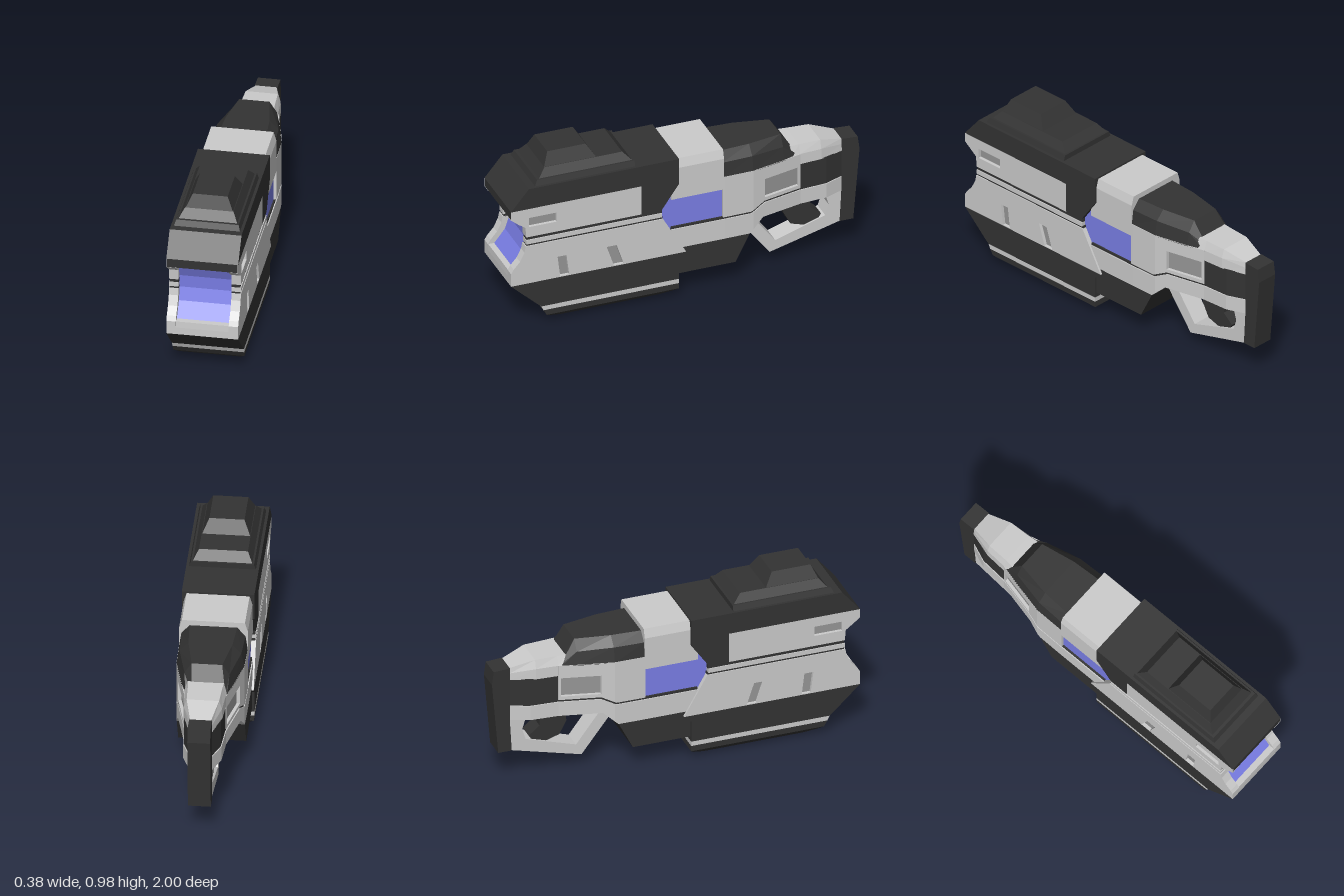
import * as THREE from 'three';
import { mergeGeometries } from 'three/addons/utils/BufferGeometryUtils.js';

const GREY = 0xcccccc, BLACK = 0x333333, BLUE = 0x7a7ee6, DIM = 0x969696;

// half width of the rear body along z: [z, halfWidth]
const TAPER = [[0.3, 0.18], [-0.2, 0.18], [-0.36, 0.178], [-0.65, 0.11], [-0.8, 0.1], [-0.9, 0.06], [-1, 0.06]];

function taperAt(z) {
  for (let i = 1; i < TAPER.length; i++) {
    const [z0, w0] = TAPER[i - 1], [z1, w1] = TAPER[i];
    if (z >= z1) return w0 + (w1 - w0) * Math.max(0, (z0 - z) / (z0 - z1));
  }
  return 0.06;
}

// side outline of [z, y] points, extruded from x0 to x1
function extrude(pts, x0, x1, holes = []) {
  const v = (list) => list.map(([z, y]) => new THREE.Vector2(z, y));
  const shape = new THREE.Shape(v(pts));
  holes.forEach((h) => shape.holes.push(new THREE.Path(v(h))));
  const g = new THREE.ExtrudeGeometry(shape, { depth: x1 - x0, bevelEnabled: false });
  return g.rotateY(-Math.PI / 2).translate(x1, 0, 0);
}

// the same outline on both sides
const pair = (pts, x0, x1, holes) =>
  mergeGeometries([extrude(pts, x0, x1, holes), extrude(pts, -x1, -x0, holes)]);

// keep the part of an outline where sign * (z - cut) >= 0
function clip(pts, cut, sign) {
  const out = [];
  pts.forEach((a, i) => {
    const b = pts[(i + 1) % pts.length];
    const da = sign * (a[0] - cut), db = sign * (b[0] - cut);
    if (da >= 0) out.push(a);
    if (da * db < 0) {
      const t = da / (da - db);
      out.push([cut, a[1] + (b[1] - a[1]) * t]);
    }
  });
  return out;
}

// full-width outline that follows the taper, cut into strips at its bends
function tapered(pts, inset = 0) {
  const parts = [];
  const zs = pts.map((p) => p[0]), lo = Math.min(...zs), hi = Math.max(...zs);
  for (let i = 1; i < TAPER.length; i++) {
    const a = TAPER[i - 1][0], b = TAPER[i][0];
    if (a <= lo + 1e-4 || b >= hi - 1e-4) continue;
    const strip = clip(clip(pts, a, -1), b, 1);
    if (strip.length < 3) continue;
    const g = extrude(strip, -1, 1), p = g.attributes.position;
    for (let k = 0; k < p.count; k++) p.setX(k, Math.sign(p.getX(k)) * (taperAt(p.getZ(k)) - inset));
    g.computeVertexNormals();
    parts.push(g);
  }
  return mergeGeometries(parts);
}

// capped solid through rings of [x, y, z] points
function loft(rings) {
  const n = rings[0].length, tris = [];
  for (let r = 0; r + 1 < rings.length; r++) {
    for (let i = 0; i < n; i++) {
      const j = (i + 1) % n, A = rings[r], B = rings[r + 1];
      tris.push([A[i], A[j], B[j]], [A[i], B[j], B[i]]);
    }
  }
  const last = rings[rings.length - 1];
  for (let i = 1; i < n - 1; i++) {
    tris.push([rings[0][0], rings[0][i + 1], rings[0][i]], [last[0], last[i], last[i + 1]]);
  }
  // turn the faces outward
  const vec = (p) => new THREE.Vector3(...p);
  const volume = tris.reduce((s, [a, b, c]) => s + vec(a).dot(vec(b).cross(vec(c))), 0);
  if (volume < 0) tris.forEach((t) => t.reverse());
  const g = new THREE.BufferGeometry();
  g.setAttribute('position', new THREE.Float32BufferAttribute(tris.flat(2), 3));
  g.computeVertexNormals();
  return g;
}

// stacked rectangles: [y, zBack, zFront, halfWidth]
const stack = (levels) => loft(levels.map(([y, a, b, w]) => [[-w, y, a], [w, y, a], [w, y, b], [-w, y, b]]));

// mirrored half sections along z: [z, [[x, y], ...]] from the bottom up
const hull = (sections) => loft(sections.map(([z, half]) => [
  ...half.map(([x, y]) => [x, y, z]),
  ...half.slice().reverse().map(([x, y]) => [-x, y, z]),
]));

const rect = (z0, z1, y0, y1) => [[z0, y0], [z1, y0], [z1, y1], [z0, y1]];

export function createModel() {
  const model = new THREE.Group();
  const add = (name, color, geometry) => {
    const mesh = new THREE.Mesh(geometry, new THREE.MeshStandardMaterial({ color, flatShading: true }));
    mesh.name = name;
    model.add(mesh);
  };

  // front housing: top cover
  add('topCover', BLACK, extrude(
    [[1, 0.71], [0.9, 0.83], [0.06, 0.83], [0.06, 0.68], [0.155, 0.545], [0.27, 0.545], [0.27, 0.71]], -0.19, 0.19));
  add('coverLip', BLACK, extrude(rect(0.27, 0.998, 0.66, 0.71), -0.186, 0.186));

  // front housing: side walls with slots
  const upperSlot = rect(0.745, 0.9, 0.6, 0.655);
  const lowerSlots = [
    [[0.74, 0.385], [0.69, 0.385], [0.675, 0.265], [0.725, 0.265]],
    [[0.465, 0.385], [0.41, 0.385], [0.37, 0.265], [0.425, 0.265]],
  ];
  add('upperSidePanel', GREY, pair(
    [[1, 0.71], [1, 0.66], [0.92, 0.6], [0.915, 0.54], [0.27, 0.54], [0.27, 0.71]], 0.186, 0.19, [upperSlot]));
  add('upperWall', GREY, pair(
    [[1, 0.66], [0.955, 0.622], [0.92, 0.6], [0.915, 0.54], [0.27, 0.54], [0.27, 0.66]], 0.14, 0.186, [upperSlot]));
  add('upperGroove', BLACK, pair(rect(0.155, 0.912, 0.52, 0.545), 0.14, 0.185));
  add('sideRail', GREY, pair(rect(0.155, 0.915, 0.497, 0.522), 0.14, 0.19));
  add('lowerGroove', BLACK, pair(rect(0.15, 0.912, 0.483, 0.499), 0.14, 0.185));
  add('lowerWall', GREY, pair(
    [[0.918, 0.486], [0.925, 0.45], [0.95, 0.4], [0.985, 0.36], [1, 0.335], [1, 0.26], [0.02, 0.26], [0.15, 0.486]],
    0.14, 0.19, lowerSlots));
  [upperSlot, ...lowerSlots].forEach((s) => add('slotFloor', DIM, pair(s, 0.14, 0.172)));

  // glowing front panel and the sill below it
  add('frontPanel', BLUE, extrude(
    [[0.97, 0.66], [0.91, 0.61], [0.885, 0.55], [0.882, 0.48], [0.905, 0.41], [0.965, 0.335], [0.3, 0.335], [0.3, 0.66]],
    -0.141, 0.141));
  add('frontSill', GREY, extrude([[0.965, 0.335], [0.998, 0.335], [1, 0.3], [1, 0.26], [0.04, 0.26], [0.04, 0.335]], -0.141, 0.141));

  // front housing: belly
  add('bellyUpper', BLACK, extrude(
    [[1, 0.26], [0.86, 0.13], [0.83, 0.104], [0.06, 0.104], [0.06, 0.225], [0.02, 0.26]], -0.19, 0.19));
  add('bellyStripe', GREY, extrude([[0.83, 0.104], [0.818, 0.078], [0.06, 0.078], [0.06, 0.104]], -0.19, 0.19));
  add('bellyLower', BLACK, stack([
    [0.078, 0.06, 0.818, 0.19], [0.045, 0.06, 0.8, 0.188], [0.022, 0.085, 0.77, 0.16], [0, 0.15, 0.7, 0.135]]));

  // sight block
  add('sightBase', BLACK, stack([[0.83, 0.3, 0.86, 0.175], [0.86, 0.3, 0.845, 0.165]]));
  add('sightMiddle', BLACK, stack([[0.86, 0.31, 0.83, 0.155], [0.905, 0.355, 0.79, 0.128]]));
  add('sightTop', BLACK, stack([[0.905, 0.5, 0.79, 0.125], [0.975, 0.545, 0.76, 0.092]]));

  // middle collar and side light
  const collar = [[0.18, 0.59], [0.18, 0.77], [0.165, 0.82]];
  add('collar', GREY, hull([[0.07, collar], [-0.195, collar]]));
  add('sideLight', BLUE, tapered(rect(-0.19, 0.29, 0.405, 0.6), 0.015));

  // rear body
  add('rearBodyUpper', GREY, tapered(rect(-0.65, 0.1, 0.585, 0.66)));
  add('rearBodySide', GREY, tapered([[-0.19, 0.59], [-0.19, 0.415], [-0.35, 0.415], [-0.43, 0.455], [-0.43, 0.59]]));
  add('windowSill', GREY, tapered(rect(-0.65, -0.43, 0.455, 0.475)));
  add('windowPost', GREY, tapered(rect(-0.65, -0.635, 0.47, 0.59)));
  add('windowFloor', DIM, tapered(rect(-0.64, -0.425, 0.47, 0.59), 0.018));
  add('bodySeam', BLACK, tapered(
    [[0.1, 0.416], [-0.35, 0.416], [-0.43, 0.458], [-0.9, 0.458], [-0.9, 0.435], [-0.43, 0.435], [-0.35, 0.395], [0.1, 0.395]], 0.006));
  add('rearBodyLower', GREY, tapered(
    [[0.1, 0.403], [-0.35, 0.403], [-0.43, 0.443], [-0.9, 0.443], [-0.9, 0.36], [-0.42, 0.36], [-0.34, 0.285], [0.1, 0.285]]));
  add('foregrip', BLACK, extrude([[0.1, 0.287], [-0.34, 0.287], [-0.26, 0.13], [0.1, 0.13]], -0.178, 0.178));
  add('rearCover', BLACK, hull([
    [-0.19, [[0.18, 0.655], [0.168, 0.74], [0.125, 0.79]]],
    [-0.36, [[0.178, 0.655], [0.162, 0.74], [0.115, 0.79]]],
    [-0.55, [[0.134, 0.655], [0.118, 0.73], [0.08, 0.788]]],
    [-0.635, [[0.113, 0.655], [0.105, 0.66], [0.075, 0.665]]],
  ]));
  add('stockTop', GREY, hull([
    [-0.6, [[0.118, 0.6], [0.115, 0.66], [0.095, 0.71]]],
    [-0.65, [[0.11, 0.6], [0.108, 0.66], [0.09, 0.71]]],
    [-0.77, [[0.102, 0.6], [0.1, 0.66], [0.085, 0.708]]],
    [-0.9, [[0.062, 0.6], [0.06, 0.64], [0.055, 0.67]]],
  ]));
  add('stockBand', BLACK, tapered(rect(-0.9, -0.65, 0.45, 0.603), 0.003));
  add('buttPlate', BLACK, extrude(
    [[-0.9, 0.67], [-0.99, 0.665], [-1, 0.59], [-0.965, 0.175], [-0.89, 0.175], [-0.9, 0.35]], -0.06, 0.06));

  // grip, trigger and guard
  add('triggerGuard', GREY, extrude([
    [-0.33, 0.29], [-0.5, 0.07], [-0.895, 0.175], [-0.9, 0.37], [-0.805, 0.37], [-0.83, 0.285],
    [-0.81, 0.225], [-0.53, 0.135], [-0.405, 0.3], [-0.43, 0.37], [-0.35, 0.37]], -0.055, 0.055));
  add('grip', BLACK, extrude(
    [[-0.59, 0.37], [-0.58, 0.285], [-0.62, 0.21], [-0.75, 0.17], [-0.79, 0.235], [-0.73, 0.285], [-0.73, 0.37]], -0.045, 0.045));
  add('trigger', BLACK, extrude(
    [[-0.5, 0.37], [-0.515, 0.32], [-0.485, 0.29], [-0.505, 0.285], [-0.54, 0.305], [-0.55, 0.37]], -0.018, 0.018));

  return model;
}
